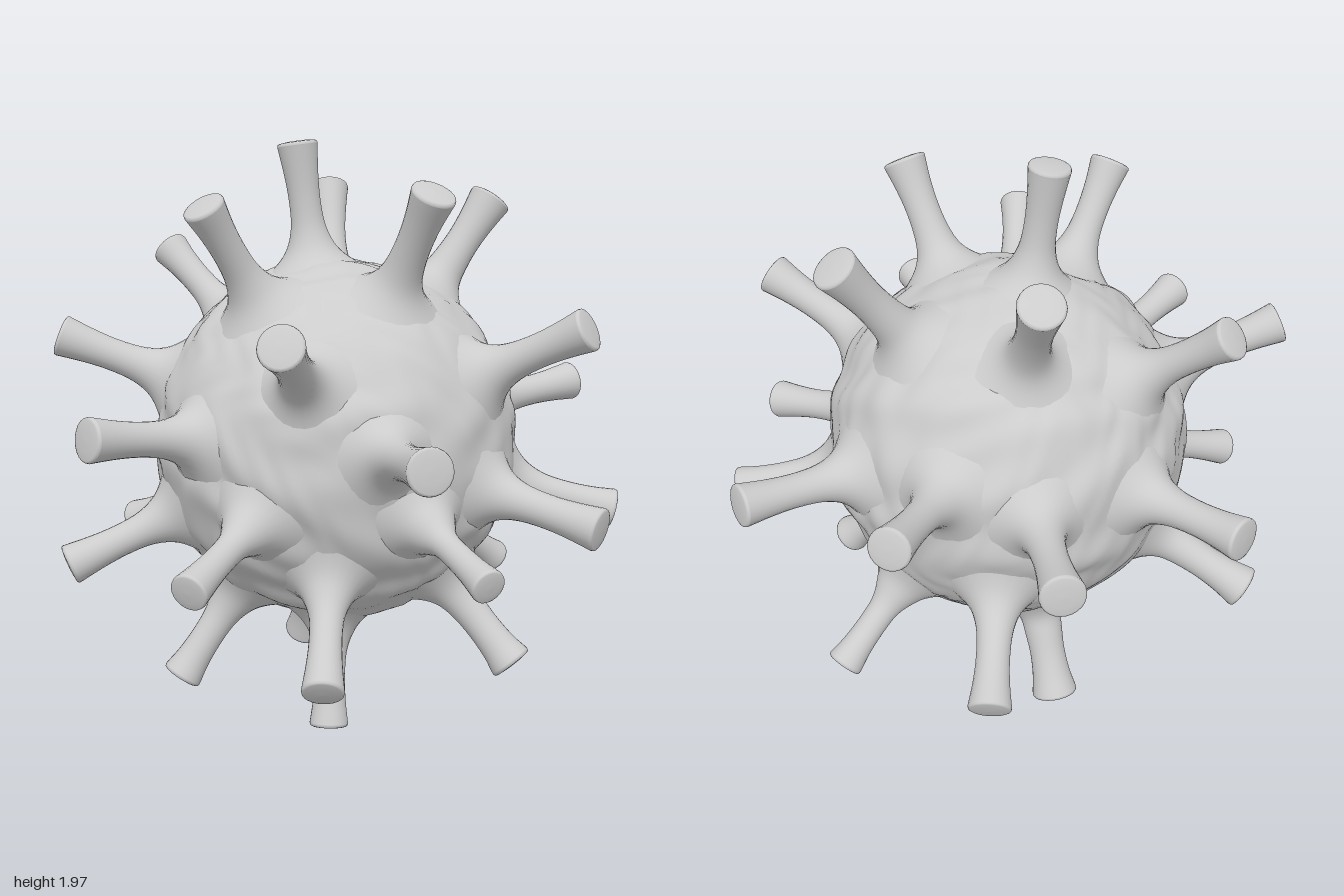
import * as THREE from 'three';
import { mergeVertices } from 'three/addons/utils/BufferGeometryUtils.js';

const CENTER = new THREE.Vector3(0.01, 0.98, 0.015);
const RADIUS = 0.615;

// Centre of each spike's end: x, y, z, end radius
const TIPS = [
  // upper
  [-0.08, 1.98, -0.08, 0.068], [-0.03, 1.83, 0.53, 0.072],
  [-0.56, 1.79, 0.07, 0.068], [0.35, 1.82, -0.44, 0.072],
  [0.57, 1.79, 0.19, 0.075], [-0.18, 1.60, -0.73, 0.068],
  // upper middle
  [-0.66, 1.43, 0.59, 0.070], [0.33, 1.42, 0.85, 0.070],
  [-0.73, 1.34, -0.56, 0.070], [0.90, 1.24, -0.37, 0.068],
  // equator
  [-0.40, 1.10, 0.92, 0.070], [-0.98, 1.12, 0.06, 0.070],
  [0.98, 1.10, 0.24, 0.070], [0.61, 1.12, -0.77, 0.070],
  [0.01, 1.07, -0.97, 0.070],
  // lower middle
  [-0.87, 0.72, 0.42, 0.060], [-0.86, 0.61, -0.32, 0.068],
  [-0.19, 0.73, 0.95, 0.055], [0.29, 0.81, 0.96, 0.070],
  [0.68, 0.75, 0.70, 0.068], [0.70, 0.56, -0.56, 0.070],
  [-0.31, 0.55, -0.81, 0.075],
  // lower
  [0.79, 0.39, 0.05, 0.062], [-0.53, 0.38, 0.61, 0.066],
  [-0.55, 0.19, -0.14, 0.068], [-0.19, 0.03, 0.22, 0.066],
  [0.25, 0.28, 0.65, 0.072], [0.19, 0.10, -0.39, 0.080],
];

// Small layered ripple for the uneven skin
function ripple(p) {
  const { x, y, z } = p;
  return 0.005 * Math.sin(9 * x + 4 * Math.sin(5 * y + 2 * z))
    + 0.004 * Math.sin(17 * y + 3 * Math.sin(8 * z - 4 * x))
    + 0.002 * Math.sin(31 * z + 3 * Math.sin(15 * x + 9 * y));
}

// Round core, gently dented
function makeCore() {
  let geo = new THREE.IcosahedronGeometry(1, 32);
  geo.deleteAttribute('normal');
  geo.deleteAttribute('uv');
  geo = mergeVertices(geo, 1e-4);
  const pos = geo.attributes.position;
  const v = new THREE.Vector3();
  for (let i = 0; i < pos.count; i++) {
    v.fromBufferAttribute(pos, i).normalize();
    v.multiplyScalar(RADIUS + ripple(v));
    pos.setXYZ(i, v.x, v.y, v.z);
  }
  geo.computeVertexNormals();
  return geo;
}

// Spike profile: wide root blending into the core, narrow neck, flared blunt end
function makeSpike(length, r) {
  const stem = new THREE.SplineCurve([
    [0.19, 0.565], [0.14, 0.6], [0.1, 0.637], [0.074, 0.68],
    [r * 0.84, 0.74], [r * 0.78, 0.82], [r * 0.84, 0.9], [r * 0.97, length - 0.025],
    [r, length - 0.01],
  ].map(([x, y]) => new THREE.Vector2(x, y))).getPoints(24);
  const end = [[r * 0.97, length - 0.003], [r * 0.88, length], [r * 0.5, length + 0.003], [0, length + 0.004]]
    .map(([x, y]) => new THREE.Vector2(x, y));
  return new THREE.LatheGeometry([...stem, ...end], 24);
}

export function createModel() {
  const model = new THREE.Group();
  model.name = 'spikedSphere';
  const material = new THREE.MeshStandardMaterial({ color: 0xcccccc, roughness: 0.8 });

  const core = new THREE.Mesh(makeCore(), material);
  core.name = 'core';
  core.position.copy(CENTER);
  model.add(core);

  // Spikes point straight out from the centre
  const spikes = new THREE.Group();
  spikes.name = 'spikes';
  const up = new THREE.Vector3(0, 1, 0);
  TIPS.forEach(([x, y, z, r], i) => {
    const dir = new THREE.Vector3(x, y, z).sub(CENTER);
    const spike = new THREE.Mesh(makeSpike(dir.length(), r), material);
    spike.name = `spike${i + 1}`;
    spike.position.copy(CENTER);
    spike.quaternion.setFromUnitVectors(up, dir.normalize());
    spikes.add(spike);
  });
  model.add(spikes);
  return model;
}
